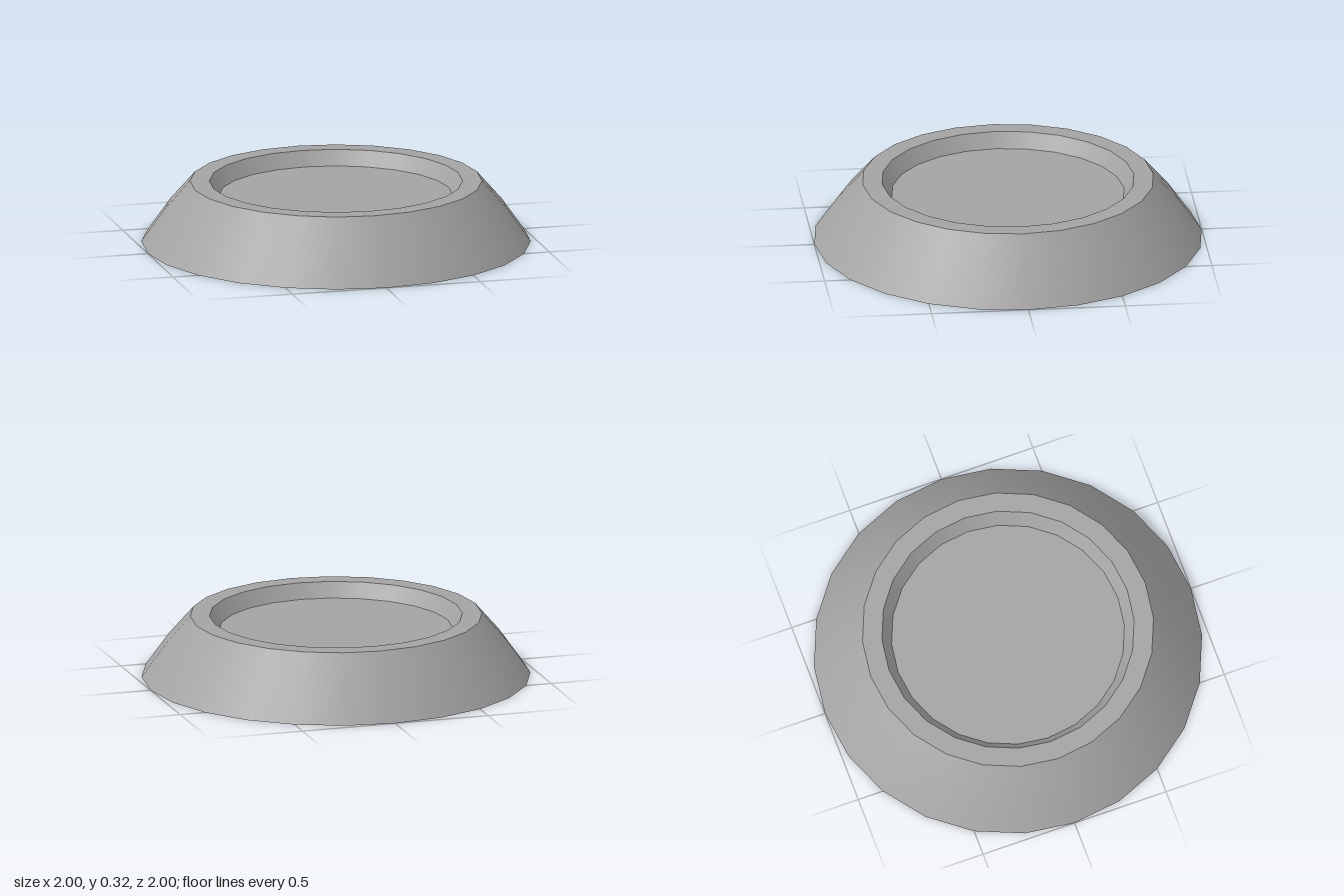
import * as THREE from 'three';

const SIDES = 24;

export function createModel() {
  const group = new THREE.Group();
  group.name = 'roundBase';
  const grey = new THREE.MeshStandardMaterial({ color: 0xa3a3a3 });
  grey.name = 'grey';

  // Each band is smooth in itself; sharp edges fall between bands.
  const addBand = (name, profile) => {
    const points = profile.map(([r, y]) => new THREE.Vector2(r, y));
    const mesh = new THREE.Mesh(new THREE.LatheGeometry(points, SIDES), grey);
    mesh.name = name;
    group.add(mesh);
  };

  // Underside, from the centre outwards
  addBand('undersidePanel', [[0, 0.07], [0.85, 0.07]]);
  addBand('undersideRecessWall', [[0.85, 0.07], [0.9, 0]]);
  addBand('footRing', [[0.9, 0], [1, 0]]);

  // Slightly bulging outer slope
  addBand('outerSlope', [[1, 0], [0.88, 0.17], [0.75, 0.32]]);

  // Top, from the rim inwards
  addBand('topRim', [[0.75, 0.32], [0.65, 0.32]]);
  addBand('topRecessWall', [[0.65, 0.32], [0.6, 0.245]]);
  addBand('topPanel', [[0.6, 0.245], [0, 0.245]]);

  return group;
}
